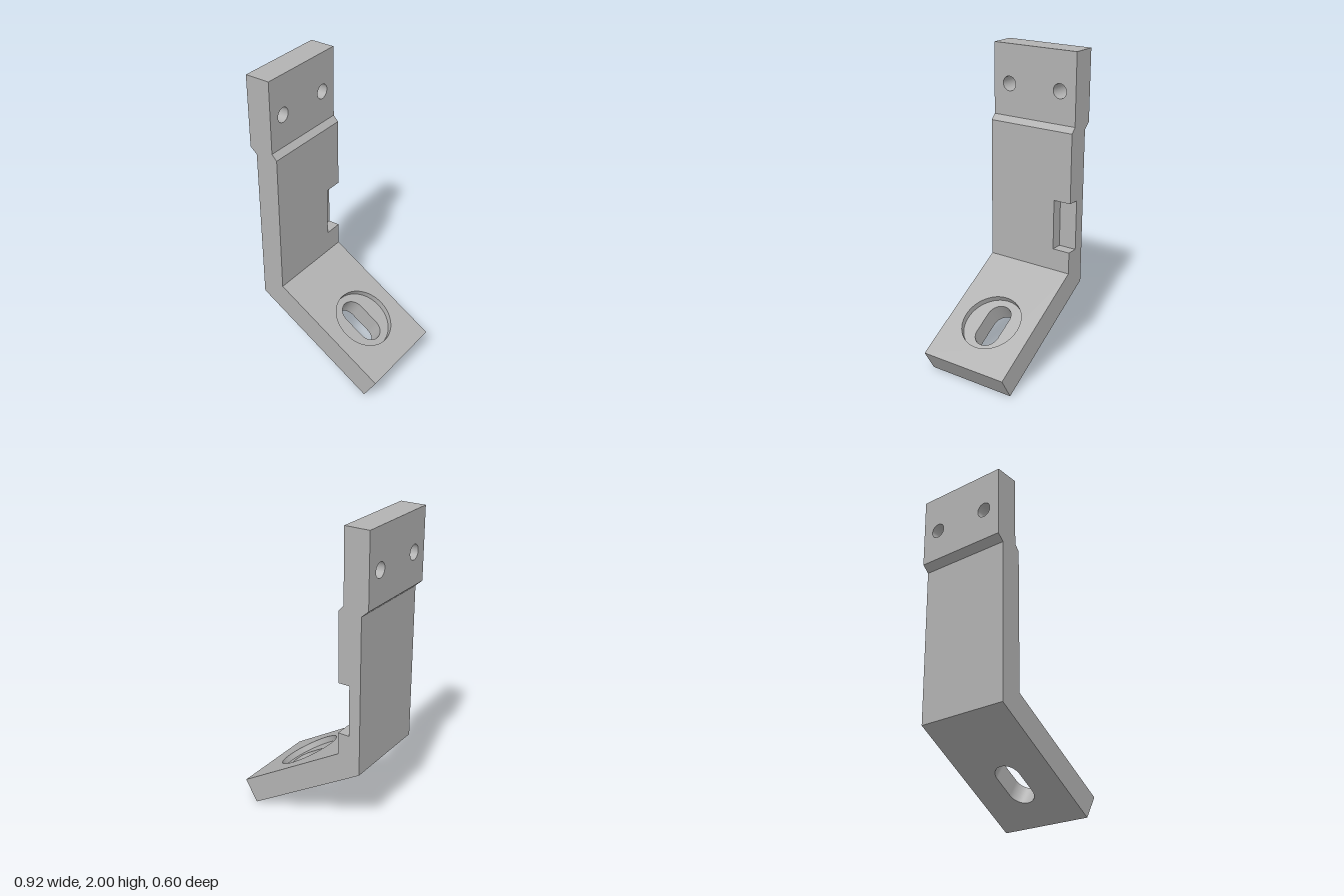
import * as THREE from 'three';

const W = 0.302; // half width along z

const shapeOf = (pts) => new THREE.Shape(pts.map(([a, b]) => new THREE.Vector2(a, b)));

function circleHole(x, y, r) {
  const p = new THREE.Path();
  p.absarc(x, y, r, 0, Math.PI * 2, true);
  return p;
}

// Slot running along y
function slotHole(y, half, r) {
  const p = new THREE.Path();
  p.moveTo(r, y - half);
  p.lineTo(r, y + half);
  p.absarc(0, y + half, r, 0, Math.PI, false);
  p.lineTo(-r, y - half);
  p.absarc(0, y - half, r, Math.PI, Math.PI * 2, false);
  return p;
}

// Plate drawn in (-z, y) and thickened along x from x0 to x1
function plate(shape, x0, x1) {
  const g = new THREE.ExtrudeGeometry(shape, { depth: x1 - x0, bevelEnabled: false, curveSegments: 32 });
  return g.rotateY(Math.PI / 2).translate(x0, 0, 0);
}

export function createModel() {
  const group = new THREE.Group();
  group.name = 'angledBracket';
  const metal = new THREE.MeshStandardMaterial({ color: 0xb2b2b2 });
  metal.name = 'grey metal';

  const add = (name, geometry, parent = group) => {
    const mesh = new THREE.Mesh(geometry, metal);
    mesh.name = name;
    parent.add(mesh);
    return mesh;
  };

  // Top mounting plate with two screw holes
  const head = shapeOf([[-W, 1.54], [W, 1.54], [W, 2], [-W, 2]]);
  for (const s of [-1, 1]) head.holes.push(circleHole(s * 0.187, 1.748, 0.047));
  add('mountingPlate', plate(head, -0.463, -0.3));

  // Offset step, rear half of the stem and the elbow
  const spine = shapeOf([
    [-0.463, 1.54], [-0.418, 1.5], [-0.418, 0.48], [-0.352, 0.44], [-0.267, 0.58],
    [-0.343, 0.58], [-0.343, 1.505], [-0.267, 1.505], [-0.3, 1.54],
  ]);
  const spineGeo = new THREE.ExtrudeGeometry(spine, { depth: 2 * W, bevelEnabled: false });
  add('stemSpine', spineGeo.translate(0, 0, -W));

  // Outer half of the stem with the side notch
  const face = shapeOf([
    [-W, 0.58], [W, 0.58], [W, 0.725], [0.182, 0.725],
    [0.182, 1.055], [W, 1.055], [W, 1.505], [-W, 1.505],
  ]);
  add('notchedStemFace', plate(face, -0.343, -0.267));

  // Sloping foot: slotted lower layer, round counterbore in the upper layer
  const foot = new THREE.Group();
  foot.name = 'slopingFoot';
  foot.position.set(0.375, 0, 0);
  foot.rotation.z = Math.PI / 2 - Math.atan2(0.44, 0.727);
  group.add(foot);
  const length = 0.85, thick = 0.164, floor = 0.125, centre = 0.353;
  const outline = () => shapeOf([[-W, 0], [W, 0], [W, length], [-W, length]]);
  const lower = outline();
  lower.holes.push(slotHole(centre, 0.071, 0.082));
  add('slottedLayer', plate(lower, 0, floor), foot);
  const upper = outline();
  upper.holes.push(circleHole(0, centre, 0.198));
  add('counterboreLayer', plate(upper, floor, thick), foot);

  return group;
}
